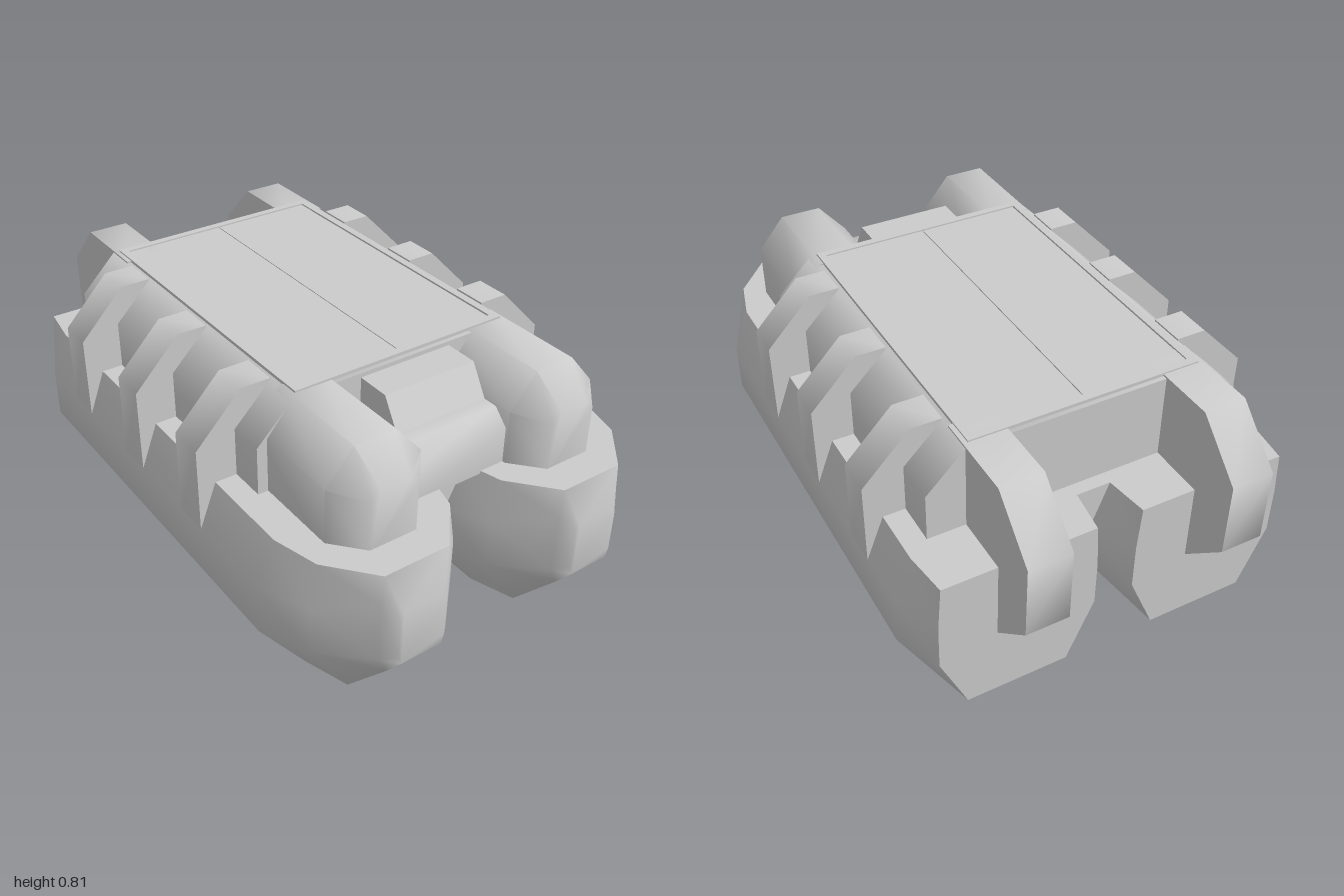
import * as THREE from 'three';
import { toCreasedNormals } from 'three/addons/utils/BufferGeometryUtils.js';

const material = new THREE.MeshStandardMaterial({ color: 0xcccccc });

function addMesh(group, name, geometry, crease = 0.95) {
  const mesh = new THREE.Mesh(toCreasedNormals(geometry, crease), material);
  mesh.name = name;
  group.add(mesh);
  return mesh;
}

// Outline in x/y, extruded along z and centred on it
function prism(points, depth) {
  const shape = new THREE.Shape(points.map(([x, y]) => new THREE.Vector2(x, y)));
  return new THREE.ExtrudeGeometry(shape, { depth, bevelEnabled: false }).translate(0, 0, -depth / 2);
}

// Outline in z/y, extruded along x
const sidePrism = (points, width) => prism(points, width).rotateY(-Math.PI / 2);

// Skin over cross-sections (counter-clockwise from +z), ordered back to front
function loft(sections) {
  const positions = [], index = [], n = sections[0].points.length;
  for (const { z, points } of sections) for (const [x, y] of points) positions.push(x, y, z);
  for (let s = 0; s < sections.length - 1; s++) {
    for (let i = 0; i < n; i++) {
      const a = s * n + i, b = s * n + (i + 1) % n;
      index.push(a, b, b + n, a, b + n, a + n);
    }
  }
  const last = (sections.length - 1) * n;
  for (let i = 1; i < n - 1; i++) index.push(0, i + 1, i, last, last + i, last + i + 1);
  const geometry = new THREE.BufferGeometry();
  geometry.setAttribute('position', new THREE.Float32BufferAttribute(positions, 3));
  geometry.setIndex(index);
  return geometry;
}

// Eight-sided hull section
function hullSection(z, bottom, middle, top, y0, y1, y2, y3) {
  return { z, points: [[-bottom, y0], [bottom, y0], [middle, y1], [middle, y2],
    [top, y3], [-top, y3], [-middle, y2], [-middle, y1]] };
}

// Upright section with a bevelled top
function podSection(z, half, topHalf, shoulder, top) {
  return { z, points: [[-half, 0.5], [half, 0.5], [half, shoulder],
    [topHalf, top], [-topHalf, top], [-half, shoulder]] };
}

export function createModel() {
  const model = new THREE.Group();
  model.name = 'twinHullVehicle';

  const hull = loft([
    hullSection(-0.845, 0.17, 0.26, 0.25, 0, 0.21, 0.37, 0.52),
    hullSection(-0.70, 0.17, 0.3275, 0.27, 0, 0.21, 0.37, 0.52),
    hullSection(0.67, 0.17, 0.3275, 0.27, 0, 0.21, 0.37, 0.52),
    hullSection(0.82, 0.12, 0.255, 0.23, 0, 0.21, 0.37, 0.52),
    hullSection(0.96, 0.09, 0.12, 0.11, 0.16, 0.22, 0.42, 0.52),
    hullSection(1.0, 0.07, 0.08, 0.07, 0.21, 0.24, 0.37, 0.4),
  ]);
  const frontPod = loft([
    podSection(0.4, 0.163, 0.07, 0.70, 0.808),
    podSection(0.76, 0.163, 0.07, 0.70, 0.808),
    podSection(0.855, 0.08, 0.05, 0.68, 0.71),
  ]);
  // Pipe that bends down over the stern
  const rearPipe = sidePrism([[-0.55, 0.81], [-0.55, 0.5], [-0.82, 0.5], [-0.82, 0.25], [-0.845, 0.25],
    [-1, 0.4], [-1, 0.65], [-0.84, 0.81]], 0.14);
  // Rib that bends down over the flank
  const rib = prism([[0.4, 0.5], [0.58, 0.5], [0.6, 0.37], [0.655, 0.37],
    [0.655, 0.65], [0.5, 0.81], [0.4, 0.81]], 0.12);

  for (const side of [1, -1]) {
    const label = side > 0 ? 'left' : 'right';
    addMesh(model, label + 'Hull', hull).position.x = side * 0.3275;
    addMesh(model, label + 'FrontPod', frontPod).position.x = side * 0.328;
    addMesh(model, label + 'RearPipe', rearPipe).position.x = side * 0.33;
    for (const z of [0.295, -0.075, -0.455]) {
      const mesh = addMesh(model, label + 'Rib', rib);
      mesh.rotation.y = side > 0 ? 0 : Math.PI;
      mesh.position.z = z;
    }
  }

  // Wedge joining the two hulls
  addMesh(model, 'hullBridge', prism([[0, 0.37], [0.075, 0.52], [-0.075, 0.52]], 1.39)).position.z = -0.005;

  // Upper body with sloped shoulders
  addMesh(model, 'upperBody', prism([[-0.525, 0.5], [0.525, 0.5], [0.525, 0.68],
    [0.4, 0.804], [-0.4, 0.804], [-0.525, 0.68]], 1.13)).position.z = -0.09;

  // Stepped nose between the front pods
  addMesh(model, 'nose', sidePrism([[0.45, 0.51], [0.75, 0.51], [0.75, 0.64], [0.7, 0.69],
    [0.65, 0.69], [0.59, 0.79], [0.45, 0.79]], 0.33));

  // Deck panels inside a thin raised frame
  const frame = new THREE.Shape([[-0.385, -0.55], [0.385, -0.55], [0.385, 0.55], [-0.385, 0.55]]
    .map(([x, y]) => new THREE.Vector2(x, y)));
  frame.holes.push(new THREE.Path([[-0.36, -0.525], [-0.36, 0.525], [0.36, 0.525], [0.36, -0.525]]
    .map(([x, y]) => new THREE.Vector2(x, y))));
  const frameGeometry = new THREE.ExtrudeGeometry(frame, { depth: 0.012, bevelEnabled: false }).rotateX(-Math.PI / 2);
  addMesh(model, 'deckFrame', frameGeometry).position.set(0, 0.803, -0.09);
  for (const side of [1, -1]) {
    addMesh(model, 'deckPanel', new THREE.BoxGeometry(0.357, 0.012, 1.05)).position.set(side * 0.18, 0.804, -0.09);
  }
  return model;
}
